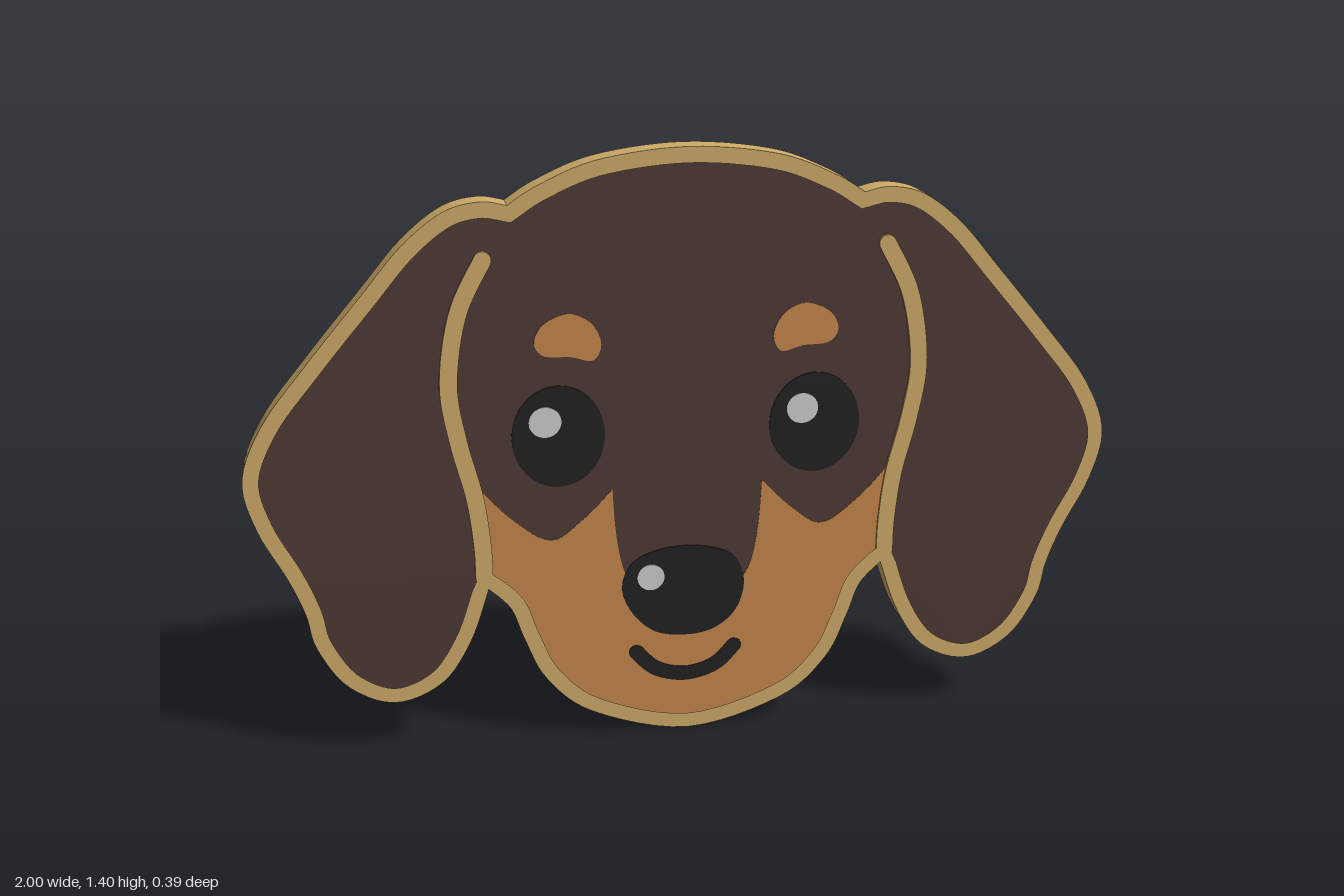
import * as THREE from 'three';

const material = (name, color) => {
  const m = new THREE.MeshStandardMaterial({ color });
  m.name = name;
  return m;
};

// Point helpers: pairs to vectors, mirroring, smooth sampling
const vec = (pairs) => pairs.map(([x, y]) => new THREE.Vector2(x, y));
const mirror = (pairs) => pairs.map(([x, y]) => [-x, y]).reverse();
const smooth = (pairs, n = 40) => new THREE.SplineCurve(vec(pairs)).getPoints(n);
const closed = (pairs, n = 48) =>
  new THREE.CatmullRomCurve3(pairs.map(([x, y]) => new THREE.Vector3(x, y, 0)), true)
    .getPoints(n).slice(0, -1).map((p) => new THREE.Vector2(p.x, p.y));
const ellipse = (x, y, rx, ry, n = 40) =>
  new THREE.EllipseCurve(x, y, rx, ry).getPoints(n).slice(0, -1);

// Joins runs of points, dropping the duplicated joints
const join = (...runs) => runs.flat().filter((p, i, all) =>
  p.distanceTo(all[(i + 1) % all.length]) > 1e-4);

// Moves a clockwise contour inwards by d
function inset(points, d) {
  const n = points.length;
  const normal = (a, b) => new THREE.Vector2(b.y - a.y, a.x - b.x).normalize();
  return points.map((p, i) => {
    const n1 = normal(points[(i + n - 1) % n], p);
    const n2 = normal(p, points[(i + 1) % n]);
    const mid = n1.clone().add(n2).normalize();
    return p.clone().addScaledVector(mid, d * Math.min(1.5, 1 / mid.dot(n1)));
  });
}

// Outline of a stroke with round ends
function stroke(pairs, r, n = 40) {
  const curve = new THREE.SplineCurve(vec(pairs));
  const left = [], right = [], cap = [[], []];
  for (let i = 0; i <= n; i++) {
    const p = curve.getPoint(i / n), t = curve.getTangent(i / n);
    left.push(new THREE.Vector2(p.x - t.y * r, p.y + t.x * r));
    right.unshift(new THREE.Vector2(p.x + t.y * r, p.y - t.x * r));
  }
  [1, 0].forEach((end, k) => {
    const p = curve.getPoint(end), t = curve.getTangent(end);
    const start = Math.atan2(t.y, t.x) + (end ? Math.PI / 2 : -Math.PI / 2);
    for (let j = 1; j < 8; j++) {
      const a = start - (j / 8) * Math.PI;
      cap[k].push(new THREE.Vector2(p.x + Math.cos(a) * r, p.y + Math.sin(a) * r));
    }
  });
  return [...left, ...cap[0], ...right, ...cap[1]];
}

export function createModel() {
  const gold = material('gold metal', 0xcfac69);
  const brown = material('dark brown enamel', 0x4e3a36);
  const tan = material('tan enamel', 0xc8874c);
  const black = material('black', 0x222222);
  const white = material('highlight', 0xcfcfcf);

  const group = new THREE.Group();
  group.name = 'dogHeadPin';
  const slab = (name, points, z0, z1, mat, hole) => {
    const shape = new THREE.Shape(points);
    if (hole) shape.holes.push(new THREE.Path(hole));
    const geo = new THREE.ExtrudeGeometry(shape, { depth: z1 - z0, bevelEnabled: false });
    const mesh = new THREE.Mesh(geo, mat);
    mesh.name = name;
    mesh.position.z = z0;
    group.add(mesh);
  };

  // Head silhouette: crown, ear, chin, mirrored ear
  const crown = [[-0.4, 1.285], [-0.33, 1.328], [-0.2, 1.378], [0, 1.4],
    [0.2, 1.378], [0.33, 1.328], [0.4, 1.285]];
  const ear = [[0.4, 1.285], [0.46, 1.295], [0.54, 1.275], [0.63, 1.205], [0.72, 1.1],
    [0.85, 0.945], [0.95, 0.815], [1, 0.69], [0.975, 0.57], [0.915, 0.45], [0.88, 0.36],
    [0.86, 0.275], [0.795, 0.175], [0.69, 0.125], [0.58, 0.165], [0.51, 0.265], [0.465, 0.392]];
  const jaw = [[0.465, 0.392], [0.415, 0.34], [0.385, 0.26], [0.335, 0.155], [0.225, 0.06]];
  const chin = [...jaw, [0, 0], ...mirror(jaw)];
  const outline = join(smooth(crown), smooth(ear, 90), smooth(chin, 60), smooth(mirror(ear), 90));
  const inner = inset(outline, 0.036);

  // Metal plate, raised rim and dark enamel fill
  slab('backPlate', outline, 0.135, 0.18, gold);
  slab('rim', outline, 0.18, 0.197, gold, inner);
  slab('brownEnamel', inset(outline, 0.025), 0.181, 0.19, brown);

  // Tan muzzle with a brown bridge dipping into it
  const cheek = [[0.487, 0.645], [0.41, 0.56], [0.32, 0.5], [0.245, 0.545], [0.175, 0.615]];
  const bridge = [[0.175, 0.615], [0.167, 0.5], [0.145, 0.4], [0.09, 0.32]];
  const jawFill = [[0.487, 0.645], [0.476, 0.5], [0.45, 0.415], [0.39, 0.355],
    [0.36, 0.26], [0.31, 0.155], [0.21, 0.08]];
  const muzzle = join(smooth(cheek), smooth(bridge, 12), smooth(mirror(bridge), 12),
    smooth(mirror(cheek)), smooth([...mirror(jawFill).reverse(), [0, 0.025], ...jawFill.slice().reverse()], 70));
  slab('muzzle', muzzle, 0.186, 0.191, tan);

  // Mirrored features: ear lines, brows, eyes
  const earLine = [[0.457, 1.165], [0.515, 1.045], [0.54, 0.885], [0.522, 0.75],
    [0.49, 0.617], [0.476, 0.5], [0.474, 0.42]];
  const brow = [[0.348, 0.97], [0.33, 1.01], [0.27, 1.035], [0.22, 1.012],
    [0.197, 0.96], [0.215, 0.925], [0.265, 0.935], [0.33, 0.942]];
  for (const [side, s] of [['left', 1], ['right', -1]]) {
    const flip = (pairs) => pairs.map(([x, y]) => [s * x, y]);
    slab(side + 'EarLine', stroke(flip(earLine), 0.02), 0.186, 0.197, gold);
    slab(side + 'Brow', closed(flip(brow)), 0.186, 0.192, tan);
    slab(side + 'Eye', ellipse(s * 0.297, 0.75, 0.106, 0.12), 0.186, 0.193, black);
    slab(side + 'EyeHighlight', ellipse(s * 0.297 - 0.03, 0.786, 0.037, 0.036), 0.19, 0.195, white);
  }

  // Nose and mouth
  const nose = [[-0.155, 0.37], [-0.13, 0.43], [-0.06, 0.461], [0.04, 0.461], [0.11, 0.432],
    [0.135, 0.37], [0.115, 0.295], [0.06, 0.25], [-0.01, 0.24], [-0.08, 0.255], [-0.135, 0.31]];
  slab('nose', closed(nose), 0.186, 0.193, black);
  slab('noseHighlight', ellipse(-0.087, 0.392, 0.032, 0.032), 0.19, 0.195, white);
  const mouth = [[-0.122, 0.203], [-0.075, 0.158], [-0.005, 0.14], [0.065, 0.158], [0.112, 0.203]];
  slab('mouth', stroke(mouth, 0.018), 0.186, 0.193, black);

  // Pin post and rubber clutch behind the plate
  const rod = (name, rFront, rBack, z0, z1, mat) => {
    const mesh = new THREE.Mesh(new THREE.CylinderGeometry(rFront, rBack, z1 - z0, 40), mat);
    mesh.name = name;
    mesh.rotation.x = Math.PI / 2;
    mesh.position.set(0, 0.652, (z0 + z1) / 2);
    group.add(mesh);
  };
  rod('post', 0.019, 0.019, -0.195, 0.14, gold);
  rod('clutch', 0.155, 0.174, -0.16, -0.05, black);

  return group;
}
